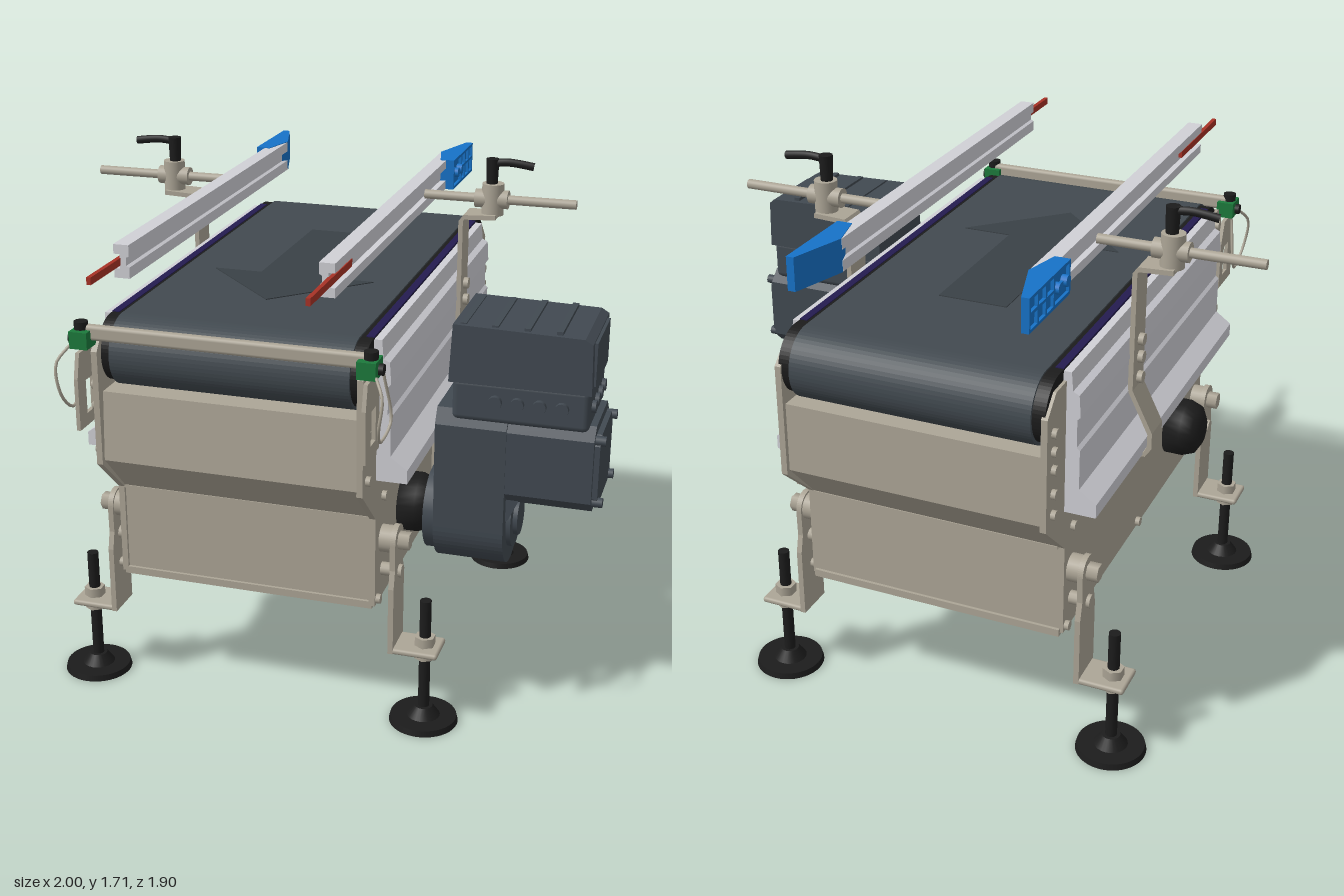
import * as THREE from 'three';
import { RoundedBoxGeometry } from 'three/addons/geometries/RoundedBoxGeometry.js';

const mat = (name, color) => Object.assign(new THREE.MeshStandardMaterial({ color }), { name });
const M = {
  steel: mat('warm steel', 0xaca596), alu: mat('aluminium', 0xd0d0d6),
  belt: mat('belt', 0x424a50), arrow: mat('arrow grey', 0x3a4146),
  motor: mat('motor grey', 0x414951), black: mat('black', 0x1c1c1c),
  blue: mat('blue plastic', 0x1672c8), red: mat('red strip', 0xa83226),
  green: mat('green sensor', 0x1c7a3c), purple: mat('belt edge purple', 0x241c50),
};

// ---- helpers -------------------------------------------------------------
const shapeOf = pts => new THREE.Shape(pts.map(p => new THREE.Vector2(p[0], p[1])));
const asShape = s => (Array.isArray(s) ? shapeOf(s) : s);
const ext = (s, depth) => new THREE.ExtrudeGeometry(asShape(s), { depth, bevelEnabled: false, curveSegments: 14 });
// outline in (z, y), solid between x0 and x1
const slabX = (s, x0, x1) => ext(s, x1 - x0).rotateY(-Math.PI / 2).translate(x1, 0, 0);
// outline in (x, z), solid between y0 and y1
const slabY = (s, y0, y1) => ext(s, y1 - y0).rotateX(Math.PI / 2).translate(0, y1, 0);
// outline in (x, y), solid between z0 and z1
const slabZ = (s, z0, z1) => ext(s, z1 - z0).translate(0, 0, z0);
// box from two corners
const box = (x0, x1, y0, y1, z0, z1) => new THREE.BoxGeometry(x1 - x0, y1 - y0, z1 - z0)
  .translate((x0 + x1) / 2, (y0 + y1) / 2, (z0 + z1) / 2);
const rbox = (x0, x1, y0, y1, z0, z1, r) => new RoundedBoxGeometry(x1 - x0, y1 - y0, z1 - z0, 2, r)
  .translate((x0 + x1) / 2, (y0 + y1) / 2, (z0 + z1) / 2);
const cylY = (r, y0, y1, x, z, n = 24, r2 = r) => new THREE.CylinderGeometry(r2, r, y1 - y0, n).translate(x, (y0 + y1) / 2, z);
const cylX = (r, x0, x1, y, z, n = 24, r2 = r) => new THREE.CylinderGeometry(r, r2, x1 - x0, n)
  .rotateZ(Math.PI / 2).translate((x0 + x1) / 2, y, z);
const cylZ = (r, z0, z1, x, y, n = 16) => new THREE.CylinderGeometry(r, r, z1 - z0, n)
  .rotateX(Math.PI / 2).translate(x, y, (z0 + z1) / 2);
const tube = (pts, r) => new THREE.TubeGeometry(
  new THREE.CatmullRomCurve3(pts.map(p => new THREE.Vector3(...p))), 24, r, 8);

// stadium outline in (z, y)
function stadium(z0, z1, y0, y1) {
  const r = (y1 - y0) / 2, s = new THREE.Shape();
  s.absarc(z1 - r, y0 + r, r, -Math.PI / 2, Math.PI / 2);
  s.absarc(z0 + r, y0 + r, r, Math.PI / 2, Math.PI * 1.5);
  return s;
}
// bent sheet metal outline of thickness t
function ribbon(pts, t) {
  const side = k => pts.map((p, i) => {
    const a = pts[Math.max(i - 1, 0)], b = pts[Math.min(i + 1, pts.length - 1)];
    const l = Math.hypot(b[0] - a[0], b[1] - a[1]);
    return [p[0] - k * (b[1] - a[1]) / l, p[1] + k * (b[0] - a[0]) / l];
  });
  return [...side(t / 2), ...side(-t / 2).reverse()];
}
// reflected copy in x with corrected winding
function mirrored(geo) {
  const g = geo.index ? geo.toNonIndexed() : geo.clone();
  g.scale(-1, 1, 1);
  for (const a of Object.values(g.attributes)) {
    const n = a.itemSize, arr = a.array;
    for (let i = 0; i < a.count; i += 3) for (let k = 0; k < n; k++) {
      const p = (i + 1) * n + k, q = (i + 2) * n + k;
      [arr[p], arr[q]] = [arr[q], arr[p]];
    }
  }
  return g;
}

export function createModel() {
  const root = new THREE.Group();
  root.name = 'beltConveyor';
  const conveyor = new THREE.Group();
  conveyor.name = 'conveyor';
  conveyor.position.x = -0.12;
  const drive = new THREE.Group();
  drive.name = 'drive';
  root.add(conveyor, drive);
  const add = (parent, name, geo, m) => {
    const mesh = new THREE.Mesh(geo, m);
    mesh.name = name;
    parent.add(mesh);
  };
  const one = (name, geo, m) => add(conveyor, name, geo, m);
  const pair = (name, geo, m) => { one(name + 'Left', geo, m); one(name + 'Right', mirrored(geo), m); };

  // belt with direction arrow
  one('belt', slabX(stadium(-0.95, 0.73, 1.13, 1.36), -0.39, 0.39), M.belt);
  one('beltArrow', slabY([[-0.115, -0.48], [0.115, -0.48], [0.115, 0.08], [0.28, 0.08], [0, 0.36], [-0.28, 0.08], [-0.115, 0.08]], 1.358, 1.363), M.arrow);
  pair('beltEdge', slabX(stadium(-0.94, 0.72, 1.14, 1.355), 0.39, 0.43), M.black);
  pair('beltEdgeStrip', box(0.405, 0.43, 1.35, 1.358, -0.8, 0.6), M.purple);

  // hopper body with shallow pyramid floor
  const low = [[0.59, 0.75], [0.59, 0.45], [-0.79, 0.45], [-0.79, 0.75]];
  one('hopper', slabX([[0.72, 1.13], [0.735, 0.9], ...low, [-0.93, 0.9], [-0.93, 1.13]], -0.42, 0.42), M.steel);
  one('hopperFloor', new THREE.ConeGeometry(Math.SQRT1_2, 0.02, 4).toNonIndexed().rotateY(Math.PI / 4)
    .rotateX(Math.PI).scale(0.84, 1, 1.38).translate(0, 0.44, -0.1), M.steel);
  one('drainPlug', cylY(0.015, 0.42, 0.45, 0, -0.1), M.steel);
  for (const z of [0.59, -0.79]) {
    one('hopperBottomFlange', box(-0.43, 0.43, 0.43, 0.455, z - 0.01, z + 0.01), M.steel);
    one('hopperSeam', box(-0.42, 0.42, 0.745, 0.755, z - 0.008, z + 0.008), M.steel);
  }
  pair('sidePlate', slabX([[0.75, 1.27], [0.71, 1.32], [-0.88, 1.32], [-0.945, 1.26], [-0.945, 0.89], [-0.79, 0.75],
    [-0.79, 0.44], [0.6, 0.44], [0.6, 0.75], [0.75, 0.89]], 0.42, 0.44), M.steel);
  one('frontCrossbar', rbox(-0.47, 0.47, 1.31, 1.36, 0.735, 0.765, 0.012), M.steel);

  // aluminium side profiles
  pair('sideProfile', slabZ([[0.43, 1.35], [0.455, 1.35], [0.46, 1.29], [0.48, 1.28], [0.485, 1.21], [0.475, 1.20], [0.475, 1.11],
    [0.485, 1.10], [0.485, 0.97], [0.54, 0.93], [0.54, 0.885], [0.43, 0.885]], -0.8, 0.6), M.alu);
  pair('profileClampBar', box(0.43, 0.5, 0.865, 0.885, -0.7, -0.05), M.steel);

  // bolts on the side plates
  const bolts = [[1.27, 0.68], [1.15, 0.715], [1.08, 0.715], [0.93, 0.71], [1.2, -0.9], [1.14, -0.9], [1.08, -0.9], [0.93, -0.9], [1.0, -0.9],
    [0.8, -0.07], [0.8, -0.22], [0.8, 0.05], [0.83, -0.45], [0.83, -0.6], [0.46, 0.58], [0.46, -0.1], [0.46, -0.77], [0.8, 0.52], [0.8, -0.73]];
  for (const [y, z] of bolts) pair('plateBolt', cylX(0.016, 0.43, 0.455, y, z, 10), M.steel);

  // four adjustable legs
  for (const z of [0.52, -0.73]) {
    const s = new THREE.Shape();
    s.moveTo(z - 0.065, 0.265);
    s.lineTo(z + 0.065, 0.265);
    s.lineTo(z + 0.065, 0.5);
    s.lineTo(z + 0.05, 0.56);
    s.absarc(z, 0.65, 0.052, 0, Math.PI);
    s.lineTo(z - 0.05, 0.56);
    s.lineTo(z - 0.065, 0.5);
    pair('legBracket', slabX(s, 0.48, 0.498), M.steel);
    pair('legFootPlate', rbox(0.48, 0.645, 0.263, 0.283, z - 0.065, z + 0.065, 0.009), M.steel);
    pair('legSpacer', cylX(0.045, 0.43, 0.48, 0.65, z), M.steel);
    pair('legBolt', cylX(0.03, 0.498, 0.535, 0.65, z, 6), M.steel);
    pair('legLowerBolt', cylX(0.022, 0.44, 0.51, 0.54, z, 12), M.steel);
    pair('legNut', cylY(0.035, 0.283, 0.315, 0.59, z, 6), M.steel);
    pair('legLowerNut', cylY(0.035, 0.235, 0.263, 0.59, z, 6), M.steel);
    pair('legRod', cylY(0.019, 0.02, 0.445, 0.59, z, 16), M.black);
    pair('footDisc', cylY(0.115, 0, 0.02, 0.59, z, 40, 0.11), M.black);
    pair('footBoss', cylY(0.055, 0.02, 0.055, 0.59, z, 24, 0.03), M.black);
  }

  // guide rail brackets, clamps and levers
  const bz = -0.325;
  pair('railBracket', slabZ(ribbon([[0.44, 0.875], [0.545, 0.885], [0.56, 0.91], [0.56, 0.96], [0.49, 1.1], [0.49, 1.495],
    [0.5, 1.51], [0.61, 1.515]], 0.016), bz - 0.05, bz + 0.05), M.steel);
  for (const y of [1.2, 1.26, 1.13]) pair('bracketBolt', cylX(0.02, 0.475, 0.515, y, bz, 10), M.steel);
  pair('railClamp', cylY(0.038, 1.515, 1.625, 0.59, bz), M.steel);
  pair('railClampBoss', cylX(0.032, 0.53, 0.645, 1.57, bz), M.steel);
  pair('railRod', cylX(0.016, 0.35, 0.88, 1.57, bz), M.steel);
  pair('leverHub', cylY(0.02, 1.625, 1.71, 0.585, bz, 16, 0.023), M.black);
  pair('lever', tube([[0.585, 1.695, bz], [0.64, 1.7, bz], [0.68, 1.697, bz], [0.73, 1.69, bz]], 0.014), M.black);

  // guide rails, lead-in ends and red strips
  pair('guideRail', slabZ([[0.3, 1.515], [0.35, 1.515], [0.35, 1.545], [0.33, 1.545], [0.33, 1.59], [0.35, 1.59], [0.35, 1.62], [0.3, 1.62],
    [0.3, 1.585], [0.31, 1.58], [0.31, 1.555], [0.3, 1.55]], -0.75, 0.74), M.alu);
  pair('leadInEnd', slabY([[0.33, -0.63], [0.3, -0.755], [0.355, -0.94], [0.37, -0.94], [0.37, -0.63]], 1.514, 1.622), M.blue);
  for (const y of [1.514, 1.565, 1.612]) pair('leadInRib', box(0.37, 0.38, y, y + 0.01, -0.94, -0.63), M.blue);
  for (const z of [-0.94, -0.88, -0.82, -0.76, -0.64]) pair('leadInRib', box(0.37, 0.38, 1.514, 1.622, z, z + 0.01), M.blue);
  for (const z of [-0.73, -0.67]) pair('leadInBolt', cylX(0.018, 0.37, 0.39, 1.57, z, 12), M.blue);
  pair('redStrip', box(0.328, 0.342, 1.555, 1.578, 0.54, 0.95), M.red);

  // front sensors with holders and cable loops
  const holder = shapeOf([[0.67, 1.03], [0.82, 1.03], [0.82, 1.2], [0.8, 1.28], [0.7, 1.28], [0.67, 1.2]]);
  holder.holes.push(new THREE.Path([[0.71, 1.07], [0.71, 1.18], [0.765, 1.18], [0.765, 1.07]].map(p => new THREE.Vector2(...p))));
  pair('sensorHolder', slabX(holder, 0.455, 0.468), M.steel);
  pair('sensor', box(0.43, 0.49, 1.29, 1.345, 0.715, 0.795), M.green);
  pair('sensorCap', cylY(0.022, 1.33, 1.37, 0.465, 0.755, 16), M.black);
  pair('sensorPlug', cylX(0.018, 0.48, 0.505, 1.315, 0.755, 12), M.black);
  pair('sensorCable', tube([[0.49, 1.3, 0.79], [0.52, 1.25, 0.83], [0.51, 1.15, 0.83], [0.5, 1.09, 0.77],
    [0.51, 1.13, 0.69], [0.49, 1.29, 0.71]], 0.005), M.steel);

  // drive shaft covers on both sides
  const cap = new THREE.LatheGeometry([[0, 0.13], [0.05, 0.13], [0.085, 0.11], [0.1, 0.07], [0.1, 0], [0, 0]].reverse()
    .map(p => new THREE.Vector2(...p)), 28).rotateZ(-Math.PI / 2).translate(0.43, 0.665, 0.25);
  pair('shaftCover', cap, M.black);

  // gearmotor
  const gz = 0.255, gear = new THREE.Shape();
  gear.absarc(gz, 0.66, 0.155, Math.PI, Math.PI * 2);
  gear.lineTo(gz + 0.16, 1.02);
  gear.lineTo(gz + 0.13, 1.07);
  gear.lineTo(gz - 0.13, 1.07);
  gear.lineTo(gz - 0.16, 1.02);
  add(drive, 'gearbox', slabX(gear, 0.46, 0.69), M.motor);
  add(drive, 'gearboxCollar', cylX(0.14, 0.42, 0.47, 0.665, gz), M.motor);
  add(drive, 'gearboxCover', cylX(0.105, 0.69, 0.705, 0.665, gz, 32), M.motor);
  add(drive, 'gearboxCoverCap', cylX(0.065, 0.705, 0.72, 0.665, gz, 32), M.motor);
  const oct = (w, h, c, y) => [[gz - w + c, y - h], [gz + w - c, y - h], [gz + w, y - h + c], [gz + w, y + h - c],
    [gz + w - c, y + h], [gz - w + c, y + h], [gz - w, y + h - c], [gz - w, y - h + c]];
  add(drive, 'motorBody', slabX(oct(0.155, 0.145, 0.04, 0.91), 0.68, 0.965), M.motor);
  add(drive, 'motorEndPlate', slabX(oct(0.135, 0.12, 0.03, 0.905), 0.965, 0.982), M.motor);
  add(drive, 'motorNeck', slabZ([[0.66, 0.66], [0.7, 0.7], [0.74, 0.79], [0.66, 0.79]], gz - 0.12, gz + 0.12), M.motor);
  for (const z of [gz - 0.12, gz + 0.12]) for (const y of [0.8, 1.01])
    add(drive, 'motorBolt', cylX(0.016, 0.96, 0.998, y, z, 10), M.motor);
  add(drive, 'inverterBase', rbox(0.51, 0.945, 1.04, 1.18, gz - 0.155, gz + 0.155, 0.02), M.motor);
  add(drive, 'inverterLid', slabZ([[0.5, 1.17], [0.95, 1.17], [0.945, 1.335], [0.92, 1.35], [0.51, 1.36]], gz - 0.165, gz + 0.165), M.motor);
  add(drive, 'inverterFace', box(0.94, 0.955, 1.19, 1.33, gz - 0.13, gz + 0.13), M.motor);
  for (let i = 0; i < 4; i++) {
    add(drive, 'cableGland', cylZ(0.022, gz + 0.15, gz + 0.172, 0.65 + i * 0.07, 1.115, 12), M.motor);
    add(drive, 'inverterFin', box(0.53 + i * 0.1, 0.55 + i * 0.1, 1.34, 1.363, gz - 0.15, gz + 0.15), M.motor);
    add(drive, 'sidePlug', cylX(0.02, 0.94, 0.958, 1.115, gz - 0.1 + i * 0.067, 12), M.motor);
  }

  // torque arm
  add(drive, 'torqueArm', slabX([[0.15, 0.78], [0.08, 0.745], [-0.03, 0.71], [-0.03, 0.62], [0.08, 0.585], [0.15, 0.56]], 0.42, 0.47), M.motor);
  add(drive, 'torqueBracket', box(0.32, 0.45, 0.61, 0.73, -0.25, -0.14), M.steel);
  add(drive, 'torquePlate', box(0.43, 0.455, 0.61, 0.73, -0.2, 0.0), M.steel);
  for (const [y, z] of [[0.67, -0.045], [0.7, -0.2], [0.64, -0.2]])
    add(drive, 'torqueBolt', cylX(0.024, 0.45, 0.505, y, z, 10), M.steel);

  // belt tensioner
  add(drive, 'tensionerBlock', box(0.32, 0.4, 0.72, 0.785, -0.73, -0.58), M.steel);
  add(drive, 'tensionerRod', cylZ(0.016, -0.6, -0.27, 0.37, 0.753), M.steel);
  for (const z of [-0.52, -0.42, -0.33]) add(drive, 'tensionerNut', cylZ(0.032, z - 0.02, z + 0.02, 0.37, 0.753, 6), M.steel);
  add(drive, 'tensionerLug', box(0.32, 0.4, 0.715, 0.79, -0.4, -0.37), M.steel);
  return root;
}
